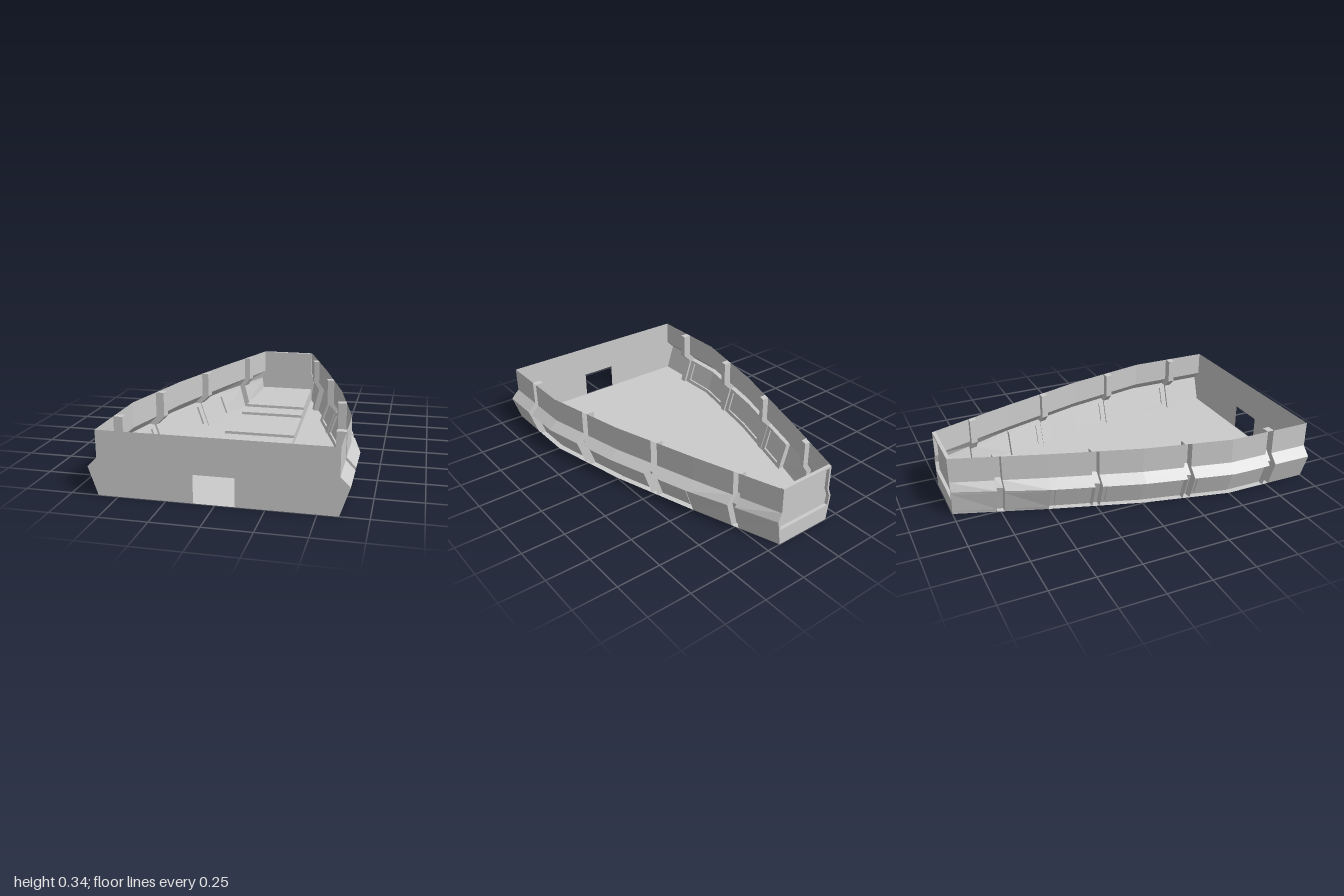
import * as THREE from 'three';

const material = new THREE.MeshStandardMaterial({ color: 0xcccccc, flatShading: true, side: THREE.DoubleSide });
const HEIGHT = 0.345, TREAD_TOP = 0.083;

// Plan of the hull: [z, widest half-width, depth of the bulge]
const PLAN = [[1, 0.655, 0.05], [0.5, 0.655, 0.05], [0, 0.545, 0.05], [-0.5, 0.39, 0.05], [-1, 0.19, 0.02]];

function planAt(z) {
  for (let i = 0; i < PLAN.length - 1; i++) {
    const [z0, w0, b0] = PLAN[i], [z1, w1, b1] = PLAN[i + 1];
    if (z >= z1) {
      const t = (z0 - z) / (z0 - z1);
      return { w: w0 + (w1 - w0) * t, b: b0 + (b1 - b0) * t };
    }
  }
}

// Half-width of the hull skin at height y and station z
function halfWidth(z, y) {
  const { w, b } = planAt(z);
  if (y <= 0.15) return w - b * (1 - y / 0.15);
  return w - b * Math.min((y - 0.15) / 0.05, 1);
}

// Builds a surface through rows of points, skipping collapsed triangles
function loft(rows) {
  const pos = [], tri = new THREE.Triangle();
  const add = (a, b, c) => {
    tri.set(a, b, c);
    if (tri.getArea() > 1e-8) for (const p of [a, b, c]) pos.push(p.x, p.y, p.z);
  };
  for (let i = 0; i < rows.length - 1; i++) {
    for (let j = 0; j < rows[i].length - 1; j++) {
      const a = rows[i][j], b = rows[i + 1][j], c = rows[i + 1][j + 1], d = rows[i][j + 1];
      add(a, b, c);
      add(a, c, d);
    }
  }
  const g = new THREE.BufferGeometry();
  g.setAttribute('position', new THREE.Float32BufferAttribute(pos, 3));
  g.computeVertexNormals();
  return g;
}

function mesh(name, geometry, parent) {
  const m = new THREE.Mesh(geometry, material);
  m.name = name;
  parent.add(m);
  return m;
}

const v = (x, y, z) => new THREE.Vector3(x, y, z);
const shapeOf = pts => new THREE.Shape(pts.map(([x, y]) => new THREE.Vector2(x, y)));

// One hull cross-section, with the skin pushed inwards at ribs, frames and panes
function section(side, z, { rib = 0, frame = 0, pane = frame } = {}) {
  const profile = [
    [0, frame], [0.02, frame], [0.02, pane], [0.135, pane], [0.135, frame], [0.15, frame],
    [0.15, 0], [0.2, 0], [HEIGHT, 0],
  ];
  const pts = profile.map(([y, push]) => v(side * (halfWidth(z, y) - push - rib), y, z));
  pts.push(v(side * halfWidth(z, HEIGHT), HEIGHT, z)); // cap over the rib
  return pts;
}

function sideWall(side) {
  const rows = [];
  const put = (z, opt) => rows.push(section(side, z, opt));
  const rib = (z, push) => {
    put(z + 0.02);
    put(z + 0.02, { rib: push });
    put(z - 0.02, { rib: push });
    put(z - 0.02);
  };
  const FRAME = { frame: 0.035 }, PANE = { frame: 0.035, pane: 0.024 };
  const bay = (front, back, bend) => {
    put(front, FRAME);
    put(front - 0.035, FRAME);
    put(front - 0.035, PANE);
    if (bend !== undefined) put(bend, PANE);
    put(back + 0.035, PANE);
    put(back + 0.035, FRAME);
    put(back, FRAME);
    put(back);
  };
  put(1);
  rib(0.75, 0.05);
  bay(0.73, 0.27, 0.5);
  rib(0.25, 0.047);
  bay(0.23, -0.23, 0);
  rib(-0.25, 0.04);
  bay(-0.27, -0.5);
  rib(-0.75, 0.035);
  put(-1);
  return loft(rows);
}

// Half-width of the raised walkway
const walkHalf = z => 0.24 - (0.5 - z) * 0.0467;

function outline(z, y0, inset = 0) {
  const ys = [y0 + inset, 0.15, 0.2, HEIGHT - inset];
  const right = ys.map(y => [halfWidth(z, y) - inset, y]);
  return [...right, ...right.map(([x, y]) => [-x, y]).reverse()];
}

export function createModel() {
  const model = new THREE.Group();
  model.name = 'openHull';

  mesh('leftWall', sideWall(1), model);
  mesh('rightWall', sideWall(-1), model);

  // Floor, cut away under the walkway
  const edge = PLAN.map(([z]) => [halfWidth(z, 0), z]);
  const cut = [[walkHalf(-1), -1], [walkHalf(0.5), 0.5]];
  const flip = pts => pts.map(([x, z]) => [-x, z]).reverse();
  const floor = new THREE.ShapeGeometry(shapeOf([...edge, ...cut, ...flip(cut), ...flip(edge)]));
  mesh('floor', floor.rotateX(Math.PI / 2), model);

  // Stepped walkway rising to the back
  const rows = [];
  const step = (z, y) => {
    const x = walkHalf(z);
    rows.push([v(-x, 0, z), v(-x, y, z), v(x, y, z), v(x, 0, z)]);
  };
  const starts = [0.5, 0.37, 0, -0.37, -0.5, -1];
  starts.forEach((z, i) => {
    step(z, i * TREAD_TOP / 5);
    if (i < 5) step(z, (i + 1) * TREAD_TOP / 5);
  });
  mesh('steppedWalkway', loft(rows), model);

  // Front wall with its doorway
  const door = [[-0.11, 0], [-0.11, 0.15], [0.1, 0.15], [0.1, 0]];
  const front = new THREE.ShapeGeometry(shapeOf([...outline(1, 0), ...door]));
  mesh('frontWall', front.translate(0, 0, 1), model);

  // Back wall: sill, frame and recessed panel
  const back = new THREE.Group();
  back.name = 'backWall';
  model.add(back);
  const b0 = halfWidth(-1, 0), b1 = halfWidth(-1, TREAD_TOP);
  const sill = new THREE.ShapeGeometry(shapeOf([[-b0, 0], [b0, 0], [b1, TREAD_TOP], [-b1, TREAD_TOP]]));
  mesh('backSill', sill.translate(0, 0, -1), back);
  const ring = shapeOf(outline(-1, TREAD_TOP));
  const inner = outline(-1, TREAD_TOP, 0.012);
  ring.holes.push(shapeOf(inner));
  const frame = new THREE.ExtrudeGeometry(ring, { depth: 0.02, bevelEnabled: false });
  mesh('backFrame', frame.translate(0, 0, -1), back);
  mesh('backPanel', new THREE.ShapeGeometry(shapeOf(inner)).translate(0, 0, -0.98), back);

  return model;
}
